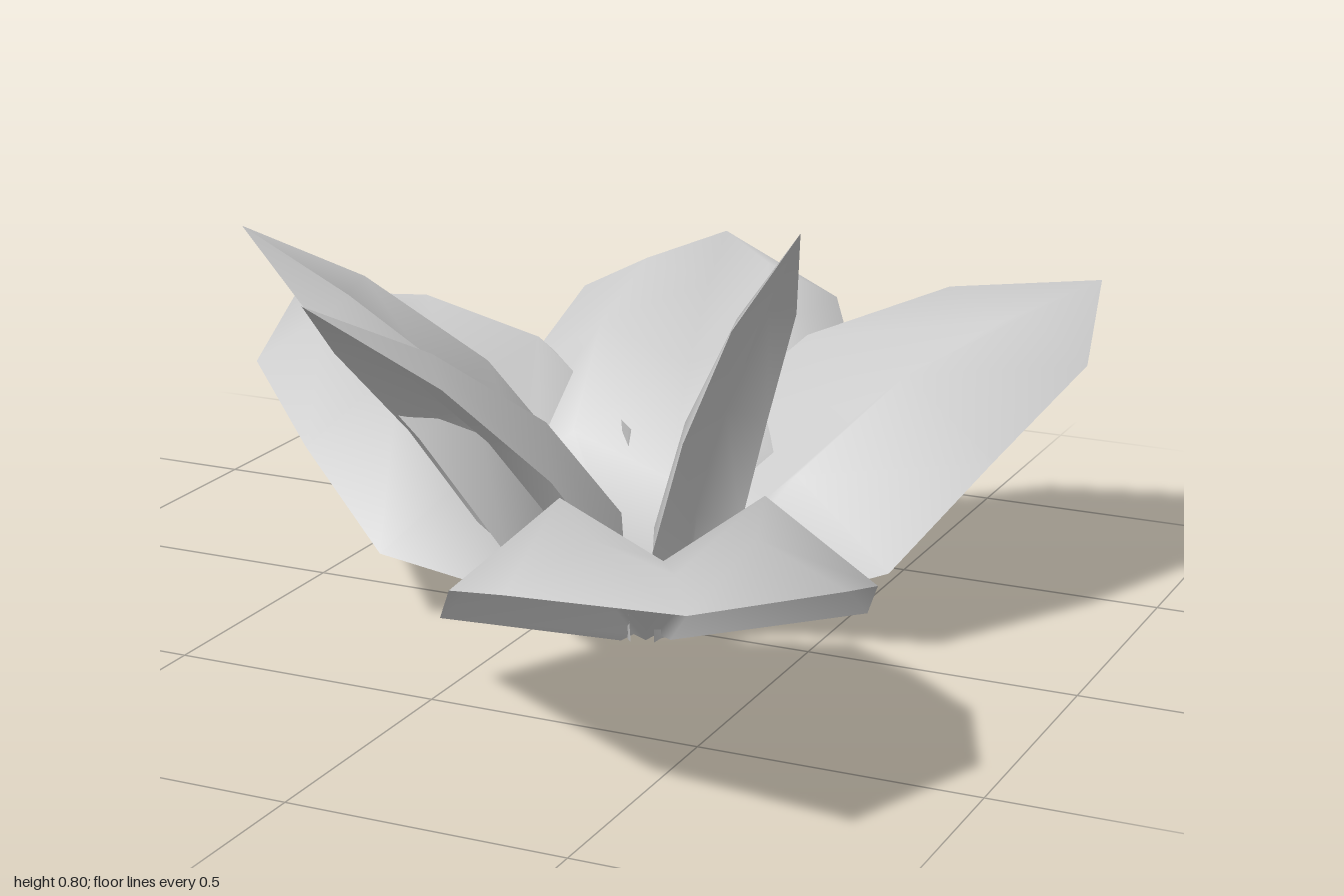
import * as THREE from 'three';

// Stations along a unit-length leaf:
// [along, half width, edge lift, lobe lift, midrib lift]
const STATIONS = [
  [0.00, 0.045, 0.000, 0.010, 0.000],
  [0.25, 0.325, 0.030, 0.180, 0.080],
  [0.51, 0.310, 0.060, 0.195, 0.100],
  [0.78, 0.235, 0.040, 0.115, 0.065],
  [1.00, 0.000, 0.000, 0.000, 0.000],
];
const ACROSS = [-1, -0.48, 0, 0.48, 1];

// Arched leaf with two raised lobes, a grooved midrib and drooping edges
function leafGeometry(length, width, depth) {
  const positions = [], index = [];
  STATIONS.forEach(([along, half, edge, lobe, mid], row) => {
    const lift = [edge, lobe, mid, lobe, edge];
    const w = row === 0 ? 0.045 : half * width * length;
    ACROSS.forEach((u, i) => positions.push(u * w, lift[i] * depth * length, along * length));
  });
  const n = ACROSS.length;
  for (let r = 0; r < STATIONS.length - 1; r++) {
    for (let i = 0; i < n - 1; i++) {
      const a = r * n + i, b = a + 1, c = a + n, d = c + 1;
      index.push(a, c, b);
      if (r < STATIONS.length - 2) index.push(b, c, d);
      else index[index.length - 2] = (r + 1) * n + 2; // share one tip vertex
    }
  }
  const g = new THREE.BufferGeometry();
  g.setAttribute('position', new THREE.Float32BufferAttribute(positions, 3));
  g.setIndex(index);
  g.computeVertexNormals();
  return g;
}

// Leaf tips with width and arch factors
const LEAVES = [
  { name: 'outerLeafBack', tip: [-0.09, 0.505, -1.0], width: 1, depth: 1 },
  { name: 'outerLeafBackLeft', tip: [0.77, 0.53, -0.83], width: 1, depth: 1 },
  { name: 'outerLeafBackRight', tip: [-0.82, 0.415, -0.47], width: 1, depth: 1 },
  { name: 'outerLeafFront', tip: [0.69, 0.42, 0.99], width: 1.02, depth: 1 },
  { name: 'innerLeafRight', tip: [-0.52, 0.73, 0.23], width: 0.64, depth: 0.75 },
  { name: 'innerLeafFront', tip: [-0.13, 0.73, 0.69], width: 0.64, depth: 0.75 },
  { name: 'smallLeaf', tip: [0.52, 0.80, 0.13], width: 0.42, depth: 0.45 },
];

export function createModel() {
  const model = new THREE.Group();
  model.name = 'leafyPlant';
  const material = new THREE.MeshStandardMaterial({ color: 0xcccccc, side: THREE.DoubleSide });
  const center = new THREE.Vector3(0.18, 0, 0.01);
  const ring = 0.07; // leaves start on a small ring at the ground

  for (const { name, tip, width, depth } of LEAVES) {
    const dx = tip[0] - center.x, dz = tip[2] - center.z;
    const azimuth = Math.atan2(dx, dz);
    const reach = Math.hypot(dx, dz) - ring;
    const leaf = new THREE.Mesh(leafGeometry(Math.hypot(reach, tip[1]), width, depth), material);
    leaf.name = name;
    leaf.rotation.set(-Math.atan2(tip[1], reach), azimuth, 0, 'YXZ');
    leaf.position.set(center.x + ring * Math.sin(azimuth), 0, center.z + ring * Math.cos(azimuth));
    model.add(leaf);
  }
  return model;
}
